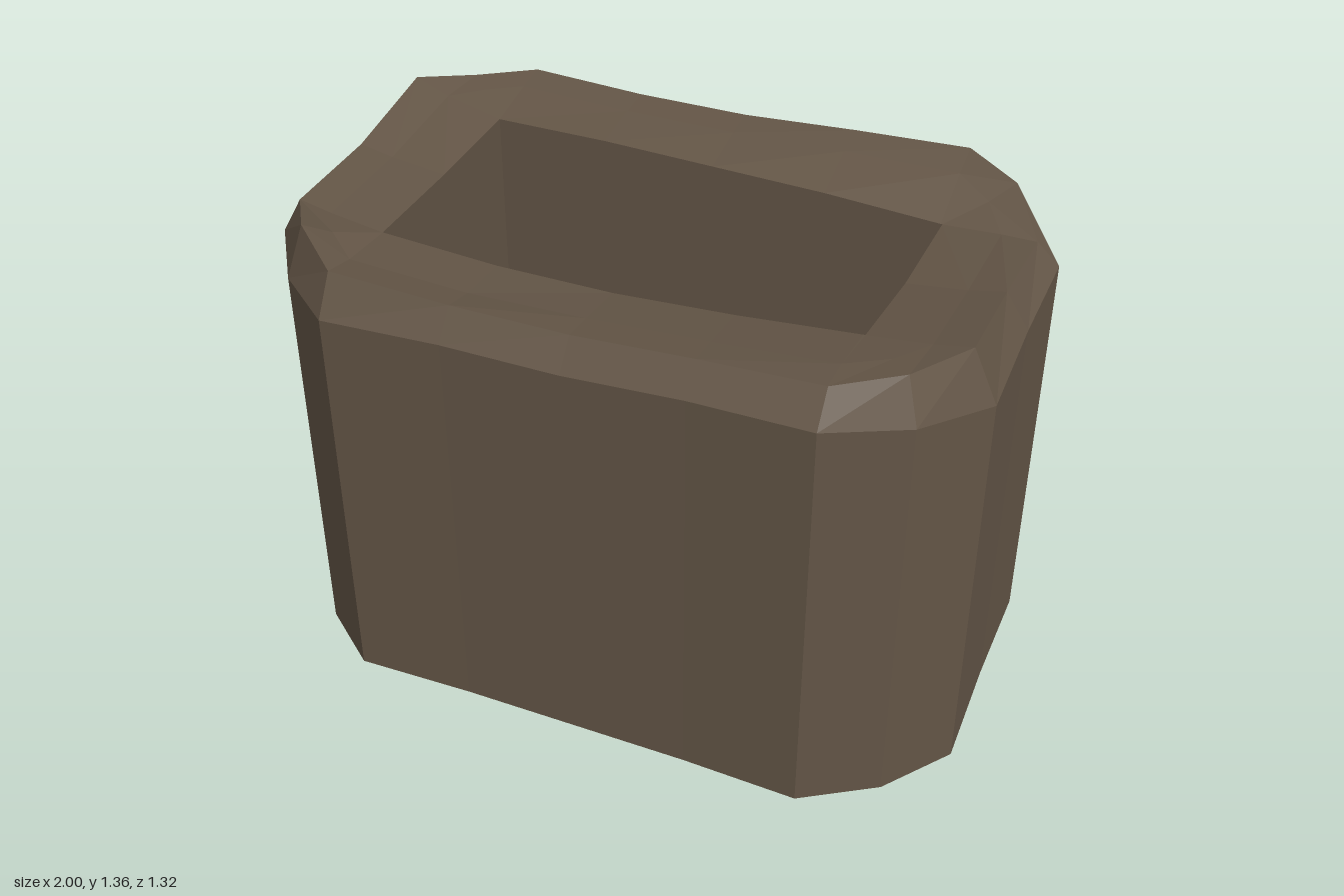
import * as THREE from 'three';

// One column per outline point, running from front left round the right side:
// [x, z, wall top y, crest y, ledge y, inner lip y]
const COLUMNS = [
  [-0.67, 0.66, 1.19, 1.30, 1.28, 1.27],
  [-0.33, 0.65, 1.20, 1.28, 1.26, 1.25],
  [0, 0.65, 1.20, 1.28, 1.27, 1.25],
  [0.33, 0.65, 1.22, 1.30, 1.29, 1.27],
  [0.66, 0.66, 1.23, 1.32, 1.32, 1.30],
  [0.86, 0.53, 1.21, 1.33, 1.32, 1.30],
  [1.00, 0.34, 1.19, 1.34, 1.32, 1.30],
  [0.99, 0, 1.19, 1.29, 1.27, 1.25],
  [0.99, -0.33, 1.19, 1.25, 1.25, 1.24],
  [0.86, -0.53, 1.22, 1.32, 1.28, 1.24],
  [0.66, -0.66, 1.25, 1.34, 1.31, 1.24],
  [0.33, -0.65, 1.22, 1.33, 1.31, 1.26],
  [0, -0.65, 1.20, 1.31, 1.30, 1.27],
  [-0.33, -0.65, 1.20, 1.31, 1.30, 1.28],
  [-0.67, -0.66, 1.22, 1.32, 1.31, 1.28],
  [-0.86, -0.53, 1.21, 1.32, 1.31, 1.28],
  [-1.00, -0.34, 1.23, 1.36, 1.32, 1.28],
  [-0.99, 0, 1.21, 1.31, 1.29, 1.27],
  [-0.98, 0.33, 1.20, 1.31, 1.29, 1.27],
  [-0.85, 0.52, 1.19, 1.34, 1.30, 1.27],
];
const FLOOR = 0.33;
const INNER_X = 0.665, INNER_Z = 0.335;

// Ring of points; t slides from the outer outline (0) to the inner rectangle (1)
function ring(t, height) {
  return COLUMNS.map((c) => {
    const ix = THREE.MathUtils.clamp(c[0], -INNER_X, INNER_X);
    const iz = THREE.MathUtils.clamp(c[1], -INNER_Z, INNER_Z);
    return [
      THREE.MathUtils.lerp(c[0], ix, t),
      height(c),
      THREE.MathUtils.lerp(c[1], iz, t),
    ];
  });
}

const centre = (y) => COLUMNS.map(() => [0, y, 0]);

// Skin successive rings into a closed-loop surface
function loft(rings) {
  const n = COLUMNS.length;
  const index = [];
  for (let j = 0; j < rings.length - 1; j++) {
    for (let i = 0; i < n; i++) {
      const k = (i + 1) % n;
      const a = j * n + i, b = j * n + k, c = b + n, d = a + n;
      index.push(a, b, c, a, c, d);
    }
  }
  const geometry = new THREE.BufferGeometry();
  geometry.setAttribute('position', new THREE.Float32BufferAttribute(rings.flat(2), 3));
  geometry.setIndex(index);
  geometry.computeVertexNormals();
  return geometry;
}

export function createModel() {
  const group = new THREE.Group();
  group.name = 'hollowBlock';
  const material = new THREE.MeshStandardMaterial({ color: 0x635546, flatShading: true });

  const add = (name, rings) => {
    const mesh = new THREE.Mesh(loft(rings), material);
    mesh.name = name;
    group.add(mesh);
  };

  const base = ring(0, () => 0);
  const wallTop = ring(0, (c) => c[2]);
  const crest = ring(0.2, (c) => c[3]);
  const ledge = ring(0.5, (c) => c[4]);
  const lip = ring(1, (c) => c[5]);
  const floorEdge = ring(1, () => FLOOR);

  add('underside', [centre(0), base]);
  add('outerWall', [base, wallTop]);
  // Uneven rim: steep outer bevel, then a shallow slope into the hollow
  add('rim', [wallTop, crest, ledge, lip]);
  add('innerWall', [lip, floorEdge]);
  add('hollowFloor', [floorEdge, centre(FLOOR)]);

  return group;
}
